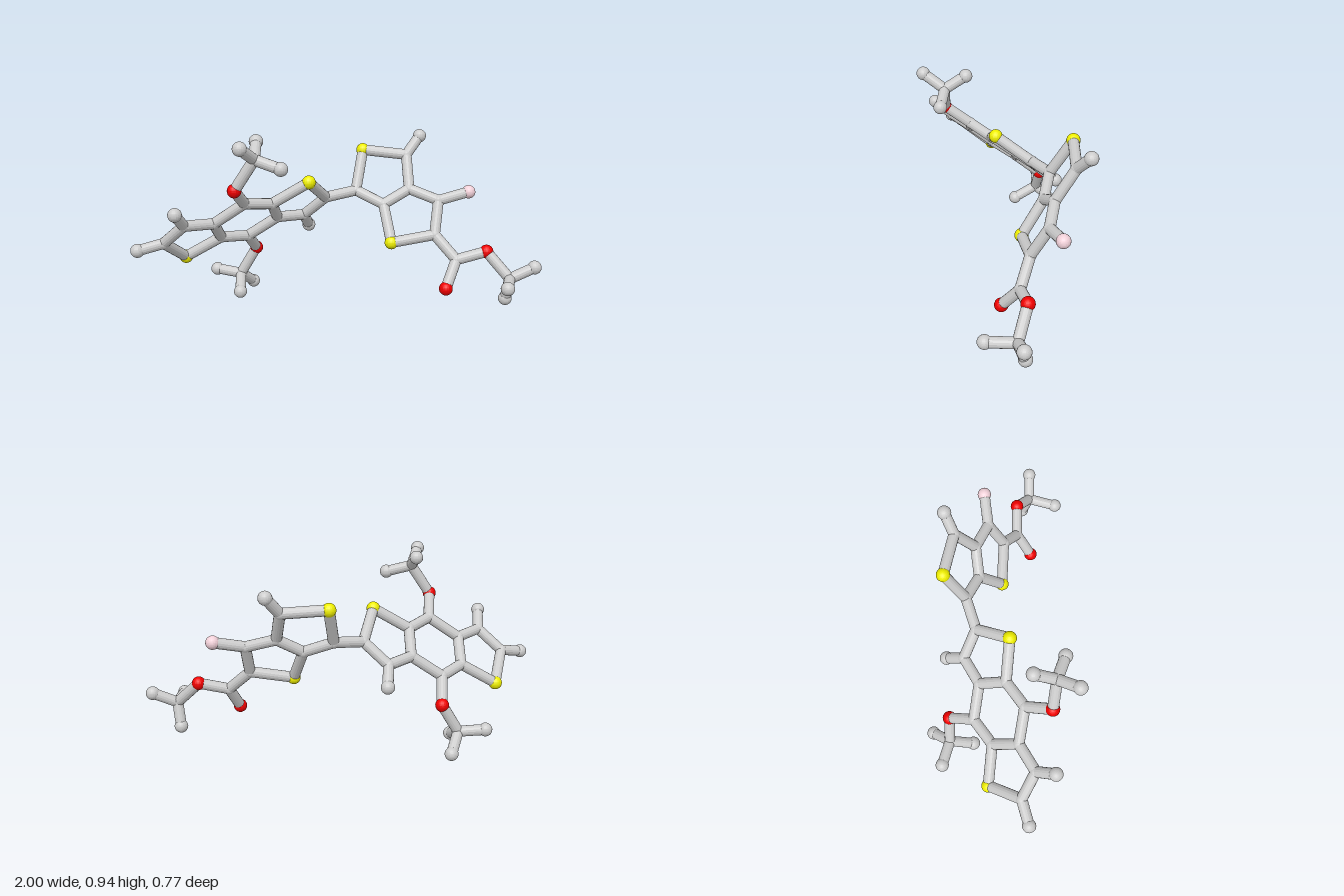
import * as THREE from 'three';

// atom id: [element, x, y, z]
const ATOMS = {
  // left fused three-ring plate
  s1: ['S', -0.76, 0.275, -0.06], a1: ['C', -0.845, 0.395, 0.1], a2: ['C', -0.735, 0.5, 0.165],
  a3: ['C', -0.6, 0.488, 0.087], a4: ['C', -0.578, 0.382, -0.04], a5: ['C', -0.447, 0.595, 0.115],
  a6: ['C', -0.449, 0.361, -0.131], a7: ['C', -0.296, 0.466, -0.103], a8: ['C', -0.318, 0.57, 0.027],
  a9: ['C', -0.161, 0.456, -0.18], a10: ['C', -0.05, 0.563, -0.118], s2: ['S', -0.136, 0.68, 0.045],
  h1: ['H', -0.967, 0.37, 0.135], h2: ['H', -0.762, 0.58, 0.255], h3: ['H', -0.136, 0.376, -0.27],
  // upper side group
  o1: ['O', -0.484, 0.69, 0.24], m1: ['C', -0.387, 0.84, 0.253],
  m1a: ['H', -0.446, 0.91, 0.35], m1b: ['H', -0.382, 0.904, 0.145], m1c: ['H', -0.265, 0.804, 0.297],
  // lower side group
  o2: ['O', -0.414, 0.257, -0.257], m2: ['C', -0.5, 0.112, -0.26],
  m2a: ['H', -0.44, 0.036, -0.35], m2b: ['H', -0.498, 0.052, -0.14], m2c: ['H', -0.628, 0.126, -0.297],
  // right fused two-ring plate
  b1: ['C', 0.106, 0.585, -0.168], s3: ['S', 0.147, 0.775, -0.27], b2: ['C', 0.367, 0.758, -0.222],
  b3: ['C', 0.374, 0.602, -0.122], b4: ['C', 0.243, 0.527, -0.105], s4: ['S', 0.275, 0.358, 0.01],
  b5: ['C', 0.49, 0.4, 0.02], b6: ['C', 0.516, 0.556, -0.06],
  h4: ['H', 0.438, 0.847, -0.266], f1: ['F', 0.671, 0.594, -0.08],
  // tail group
  c1: ['C', 0.591, 0.291, 0.092], o3: ['O', 0.532, 0.167, 0.167], o4: ['O', 0.74, 0.332, 0.092],
  m3: ['C', 0.847, 0.213, 0.163],
  m3a: ['H', 0.967, 0.27, 0.163], m3b: ['H', 0.837, 0.097, 0.125], m3c: ['H', 0.807, 0.212, 0.303],
};

// chains of bonded atoms
const CHAINS = [
  's1 a1 a2 a3 a4 s1', 'a3 a5 a8 a7 a6 a4', 'a8 s2 a10 a9 a7', 'a1 h1', 'a2 h2', 'a9 h3',
  'a5 o1 m1 m1a', 'm1b m1 m1c', 'a6 o2 m2 m2a', 'm2b m2 m2c',
  'a10 b1 s3 b2 b3 b4 b1', 'b4 s4 b5 b6 b3', 'b2 h4', 'b6 f1',
  'b5 c1 o4 m3 m3a', 'c1 o3', 'm3b m3 m3c',
];

// element: name, color, ball radius
const KINDS = {
  C: ['carbonJoint', 0xcccccc, 0.029],
  H: ['hydrogenBall', 0xcccccc, 0.034],
  S: ['sulfurBall', 0xeeee00, 0.034],
  O: ['oxygenBall', 0xee0000, 0.034],
  F: ['fluorineBall', 0xf0d0d8, 0.034],
};

const STICK_RADIUS = 0.027;
const UP = new THREE.Vector3(0, 1, 0);

export function createModel() {
  const model = new THREE.Group();
  model.name = 'molecule';
  const point = (id) => new THREE.Vector3(...ATOMS[id].slice(1));

  // atom balls
  const balls = new THREE.Group();
  balls.name = 'atoms';
  const kit = {};
  for (const [key, [, color, radius]] of Object.entries(KINDS)) {
    kit[key] = {
      geometry: new THREE.SphereGeometry(radius, 20, 14),
      material: new THREE.MeshStandardMaterial({ color, flatShading: true }),
    };
  }
  for (const id of Object.keys(ATOMS)) {
    const kind = ATOMS[id][0];
    const ball = new THREE.Mesh(kit[kind].geometry, kit[kind].material);
    ball.name = KINDS[kind][0];
    ball.position.copy(point(id));
    balls.add(ball);
  }

  // bond sticks
  const sticks = new THREE.Group();
  sticks.name = 'bonds';
  const stickGeometry = new THREE.CylinderGeometry(STICK_RADIUS, STICK_RADIUS, 1, 16);
  for (const chain of CHAINS) {
    const ids = chain.split(' ');
    for (let i = 1; i < ids.length; i++) {
      const from = point(ids[i - 1]);
      const to = point(ids[i]);
      const along = to.clone().sub(from);
      const stick = new THREE.Mesh(stickGeometry, kit.C.material);
      stick.name = 'bondStick';
      stick.position.copy(from).lerp(to, 0.5);
      stick.scale.y = along.length();
      stick.quaternion.setFromUnitVectors(UP, along.normalize());
      sticks.add(stick);
    }
  }

  model.add(balls, sticks);
  return model;
}
